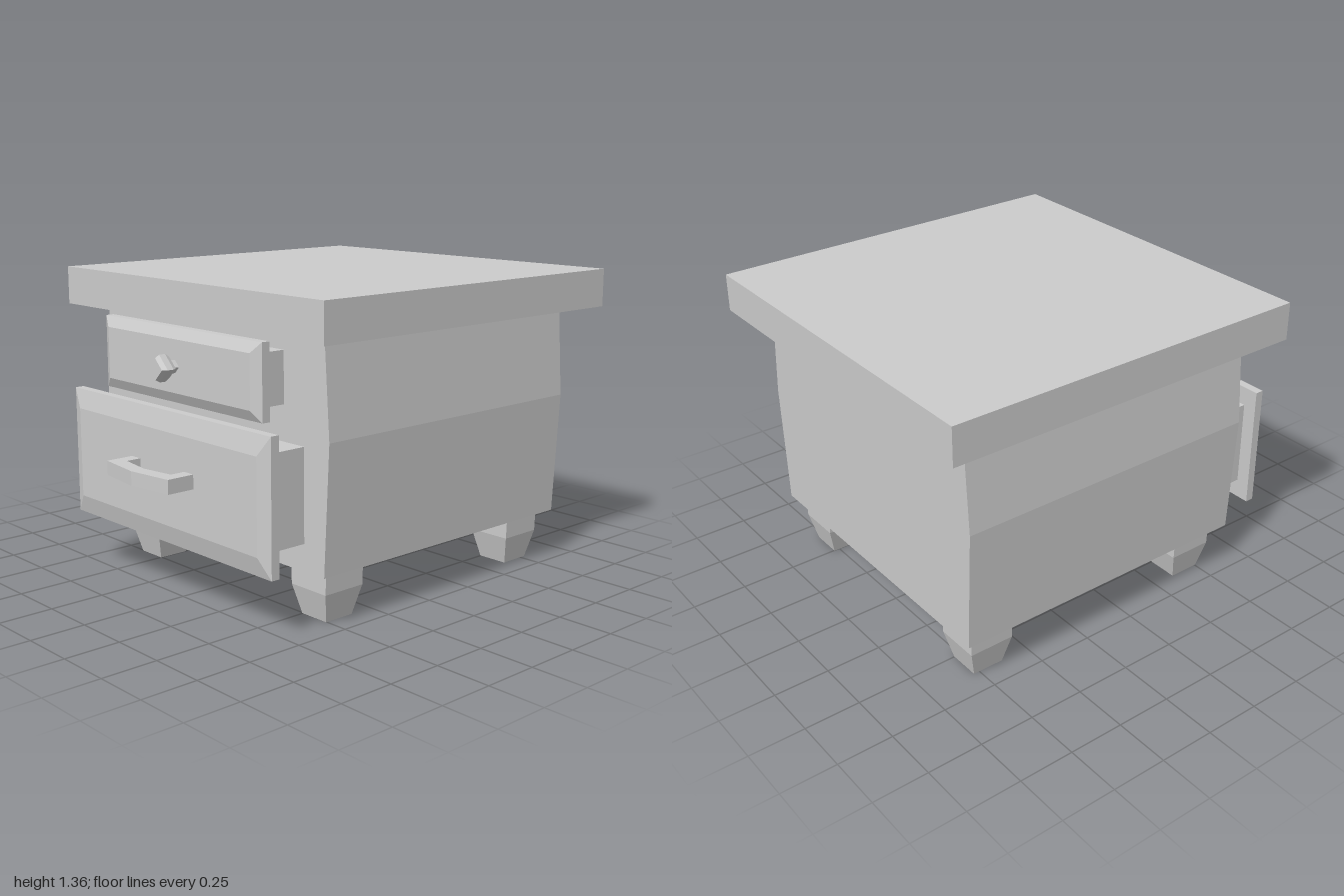
import * as THREE from 'three';

const material = new THREE.MeshStandardMaterial({ color: 0xcccccc, flatShading: true });

function add(parent, name, geometry, x = 0, y = 0, z = 0) {
  const mesh = new THREE.Mesh(geometry, material);
  mesh.name = name;
  mesh.position.set(x, y, z);
  parent.add(mesh);
  return mesh;
}

// Stack of centred rectangles along y: each section is [y, width, depth]
function stack(sections) {
  const n = sections.length - 1;
  const geometry = new THREE.BoxGeometry(1, 1, 1, 1, n, 1);
  const p = geometry.attributes.position;
  for (let i = 0; i < p.count; i++) {
    const [y, w, d] = sections[Math.round((p.getY(i) + 0.5) * n)];
    p.setXYZ(i, p.getX(i) * w, y, p.getZ(i) * d);
  }
  geometry.computeVertexNormals();
  return geometry;
}

// Drawer: box coming out of the body, with a bevelled front panel
function makeDrawer(name, s) {
  const drawer = new THREE.Group();
  drawer.name = name;
  const bodyFront = 0.595;
  const length = s.back - bodyFront + 0.02;
  add(drawer, name + 'Box', new THREE.BoxGeometry(s.boxWidth, s.boxHeight, length),
    0, s.y, s.back - length / 2);
  const panel = stack([
    [s.back, s.width, s.height],
    [s.edge, s.width, s.height],
    [s.front, s.width - 2 * s.bevelX, s.height - 2 * s.bevelY],
  ]).rotateX(Math.PI / 2);
  add(drawer, name + 'Panel', panel, 0, s.y, 0);
  return drawer;
}

export function createModel() {
  const model = new THREE.Group();
  model.name = 'nightstand';

  // Overhanging top and body with bulging sides
  add(model, 'top', new THREE.BoxGeometry(1.725, 0.17, 1.725), 0, 1.275, -0.1375);
  add(model, 'body', stack([
    [0.23, 1.455, 1.455], [0.785, 1.51, 1.455], [1.19, 1.455, 1.455],
  ]), 0, 0, -0.1325);

  // Four tapered feet
  const foot = stack([[0, 0.145, 0.145], [0.13, 0.205, 0.208], [0.23, 0.212, 0.208]]);
  for (const x of [-0.57, 0.57]) {
    for (const z of [0.432, -0.705]) {
      add(model, (z > 0 ? 'front' : 'back') + (x > 0 ? 'Left' : 'Right') + 'Foot', foot, x, 0, z);
    }
  }

  // Drawers
  const upper = makeDrawer('upperDrawer', {
    y: 1.01, width: 1.065, height: 0.32, boxWidth: 0.98, boxHeight: 0.22,
    back: 0.705, edge: 0.743, front: 0.766, bevelX: 0.048, bevelY: 0.046,
  });
  const lower = makeDrawer('lowerDrawer', {
    y: 0.547, width: 1.352, height: 0.575, boxWidth: 1.22, boxHeight: 0.4,
    back: 0.784, edge: 0.824, front: 0.845, bevelX: 0.062, bevelY: 0.085,
  });
  model.add(upper, lower);

  // Four-sided knob on a short stem
  const profile = [
    [0, 0.755], [0.028, 0.755], [0.028, 0.795], [0.045, 0.795],
    [0.058, 0.815], [0.058, 0.845], [0.046, 0.866], [0, 0.866],
  ].map(([r, z]) => new THREE.Vector2(r, z));
  add(upper, 'knob', new THREE.LatheGeometry(profile, 4).rotateX(Math.PI / 2), 0, 1.01, 0);

  // Pull handle, drawn in plan and extruded downwards
  const plan = new THREE.Shape([
    [-0.215, 0.84], [-0.155, 0.84], [-0.155, 0.913], [0, 0.936], [0.155, 0.913],
    [0.155, 0.84], [0.215, 0.84], [0.215, 0.972], [0, 1], [-0.215, 0.972],
  ].map(([x, z]) => new THREE.Vector2(x, z)));
  const handle = new THREE.ExtrudeGeometry(plan, { depth: 0.062, bevelEnabled: false });
  add(lower, 'handle', handle.rotateX(Math.PI / 2), 0, 0.602, 0);

  return model;
}
